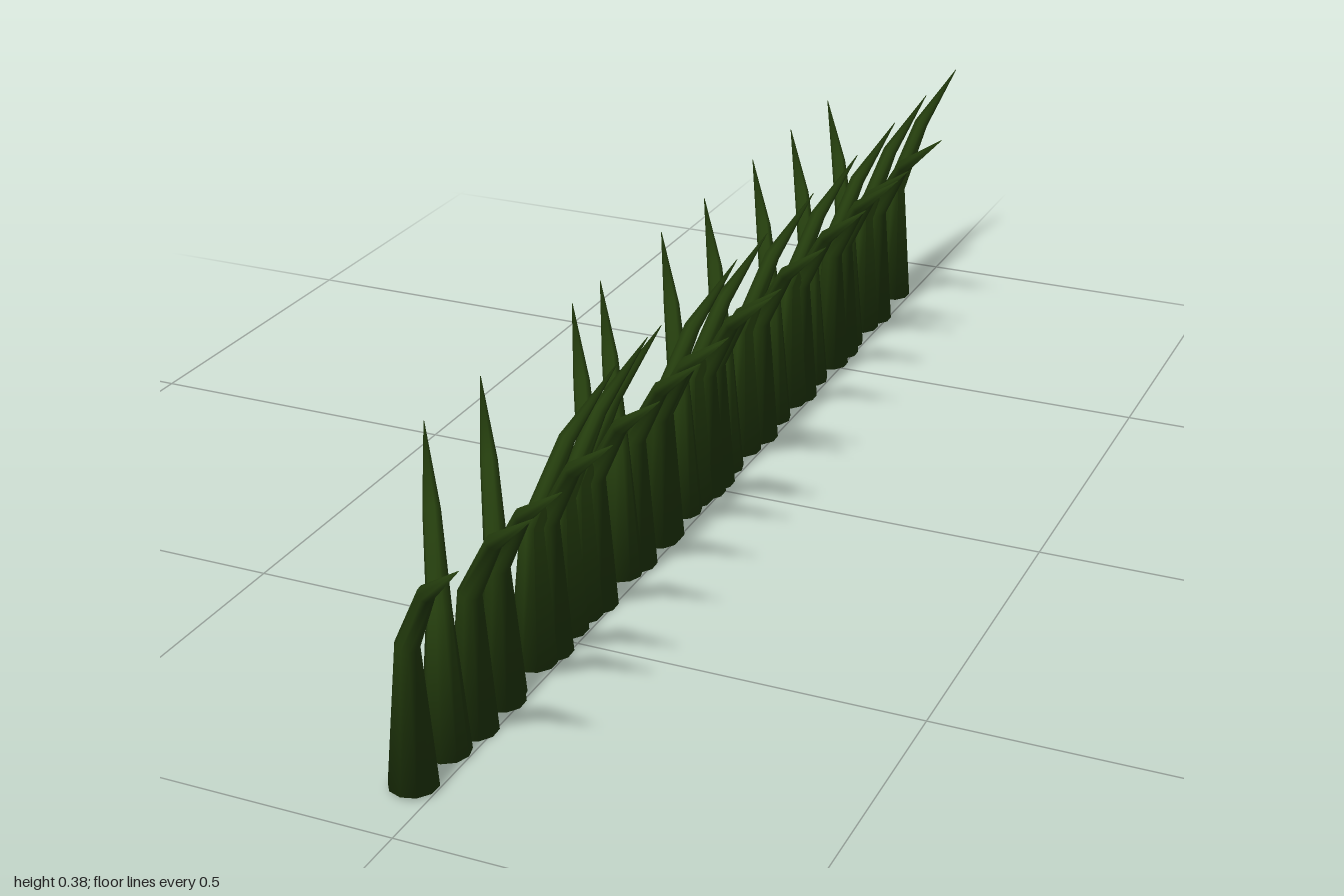
import * as THREE from 'three';
import { toCreasedNormals } from 'three/addons/utils/BufferGeometryUtils.js';

// Rings of one blade: height, share of the lean, radius, tilt of the ring
const RINGS = [
  { y: 0.004, lean: 0, r: 0.033, tilt: 0 },
  { y: 0.205, lean: 0.03, r: 0.016, tilt: 0.28 },
  { y: 0.308, lean: 0.43, r: 0.0115, tilt: 0.75 },
  { y: 0.384, lean: 1, r: 0.0005, tilt: 0.93 },
];

// A tapering blade that leans towards (dx, dz), smooth all round
function bladeGeometry(dx, dz) {
  const geometry = new THREE.CylinderGeometry(1, 1, 1, 10, 3);
  const position = geometry.attributes.position;
  const reach = Math.hypot(dx, dz);
  const p = new THREE.Vector3();
  for (let i = 0; i < position.count; i++) {
    p.fromBufferAttribute(position, i);
    const ring = RINGS[Math.round((p.y + 0.5) * 3)];
    const along = p.x * ring.r;
    p.set(
      ring.lean * reach + along * Math.cos(ring.tilt),
      ring.y - along * Math.sin(ring.tilt),
      p.z * ring.r
    );
    position.setXYZ(i, p.x, p.y, p.z);
  }
  geometry.rotateY(Math.atan2(-dz, dx));
  return toCreasedNormals(geometry, 1.7);
}

export function createModel() {
  const group = new THREE.Group();
  group.name = 'grassRow';
  const material = new THREE.MeshStandardMaterial({ color: 0x243d0d });

  // Leaning directions, each with its foot and the z places of its blades
  const kinds = [
    {
      name: 'endBlade', dx: 0.138, dz: 0.105, x: -0.031, y: 0,
      places: [0.893],
    },
    {
      name: 'bladeLeaningFrontLeft', dx: 0.149, dz: 0.1, x: -0.027, y: -0.004,
      places: [-0.73, -0.565, -0.515, -0.37, -0.2, -0.025, 0.01, 0.165, 0.18,
        0.26, 0.39, 0.53, 0.67, 0.745],
    },
    {
      name: 'bladeLeaningBackRight', dx: -0.092, dz: -0.142, x: -0.031, y: 0,
      places: [-0.6, -0.43, -0.265, -0.07, 0.09, 0.3, 0.39, 0.66, 0.81],
    },
    {
      name: 'bladeLeaningBack', dx: 0.055, dz: -0.16, x: -0.031, y: 0,
      places: [-0.838, -0.675, -0.515, -0.335, -0.14, 0.05, 0.165, 0.43, 0.475,
        0.57],
    },
  ];

  for (const { name, dx, dz, x, y, places } of kinds) {
    const geometry = bladeGeometry(dx, dz);
    places.forEach((z, i) => {
      const blade = new THREE.Mesh(geometry, material);
      blade.name = `${name}${i + 1}`;
      blade.position.set(x, y, z);
      group.add(blade);
    });
  }
  return group;
}
